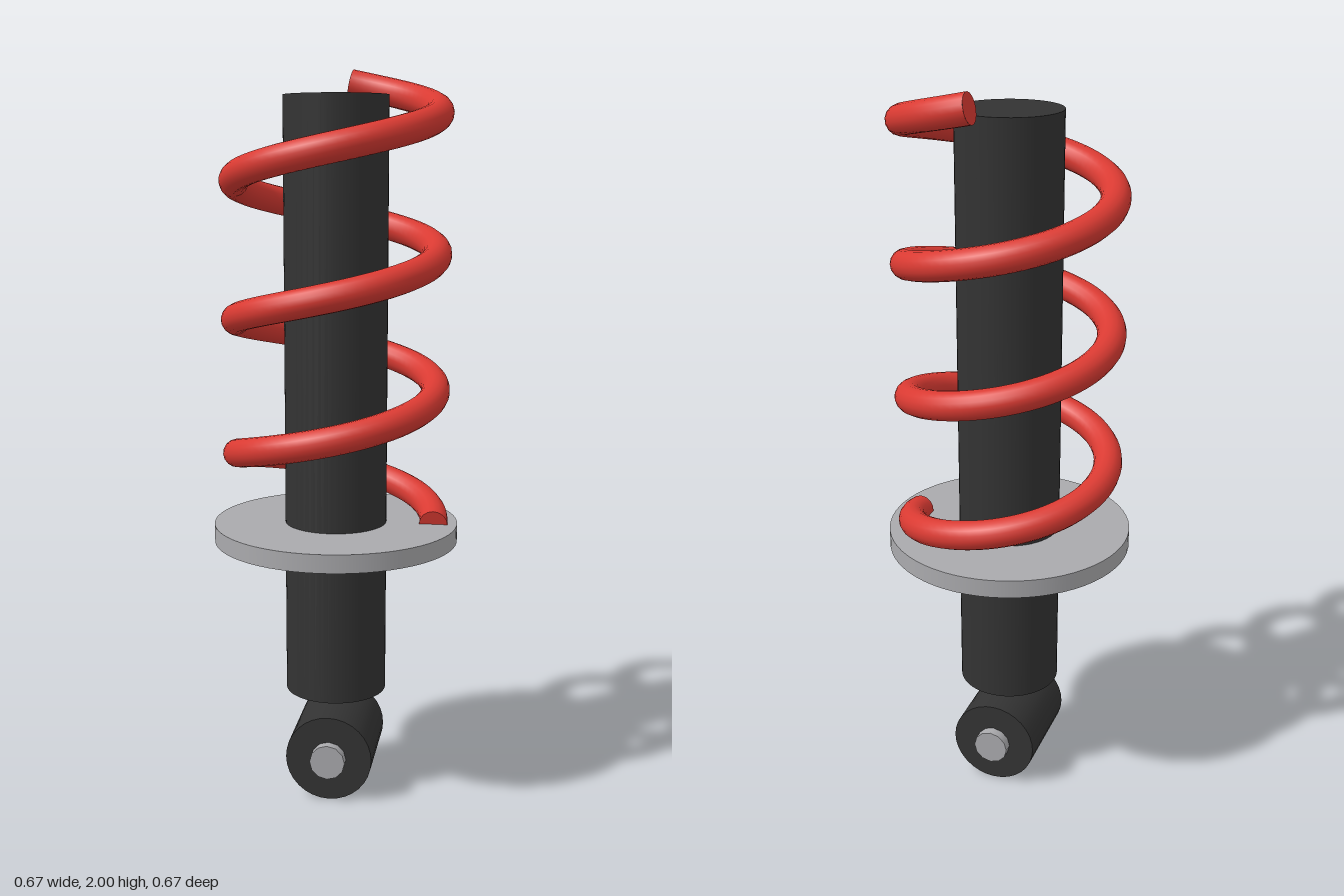
import * as THREE from 'three';

const material = (name, color) => {
  const m = new THREE.MeshStandardMaterial({ color });
  m.name = name;
  return m;
};

// Helix that climbs from the +x side, passing behind the body first
class Helix extends THREE.Curve {
  constructor(radius, bottom, pitch, turns) {
    super();
    Object.assign(this, { radius, bottom, pitch, turns });
  }
  getPoint(t, target = new THREE.Vector3()) {
    const a = t * this.turns * Math.PI * 2;
    return target.set(
      this.radius * Math.cos(a),
      this.bottom + t * this.turns * this.pitch,
      -this.radius * Math.sin(a)
    );
  }
}

export function createModel() {
  const group = new THREE.Group();
  group.name = 'coilShockAbsorber';

  const black = material('black', 0x333333);
  const steel = material('steel', 0xaaaaad);
  const red = material('red', 0xd93a32);

  const add = (name, geometry, mat, parent = group) => {
    const mesh = new THREE.Mesh(geometry, mat);
    mesh.name = name;
    parent.add(mesh);
    return mesh;
  };
  const cylinder = (name, radius, length, y, mat, sides = 48) => {
    const mesh = add(name, new THREE.CylinderGeometry(radius, radius, length, sides), mat);
    mesh.position.y = y;
    return mesh;
  };

  // Damper body and spring seat
  cylinder('damperBody', 0.14, 1.634, 1.103, black);
  cylinder('springSeat', 0.336, 0.05, 0.745, steel, 64);

  // Lower mount: bushing with a pin through it, both along z
  cylinder('mountBushing', 0.12, 0.272, 0.12, black, 32).rotation.x = Math.PI / 2;
  cylinder('mountPin', 0.049, 0.326, 0.12, steel, 12).rotation.x = Math.PI / 2;

  // Coil spring with closed ends
  const spring = new THREE.Group();
  spring.name = 'spring';
  group.add(spring);
  const wire = 0.039;
  const helix = new Helix(0.271, 0.77, 0.3665, 3.25);
  add('springCoil', new THREE.TubeGeometry(helix, 220, wire, 16, false), red, spring);
  for (const [name, t, direction] of [['springLowerEnd', 0, -1], ['springUpperEnd', 1, 1]]) {
    const cap = add(name, new THREE.CircleGeometry(wire, 16), red, spring);
    cap.position.copy(helix.getPoint(t));
    const outward = helix.getTangent(t).multiplyScalar(direction);
    cap.quaternion.setFromUnitVectors(new THREE.Vector3(0, 0, 1), outward);
  }

  return group;
}
